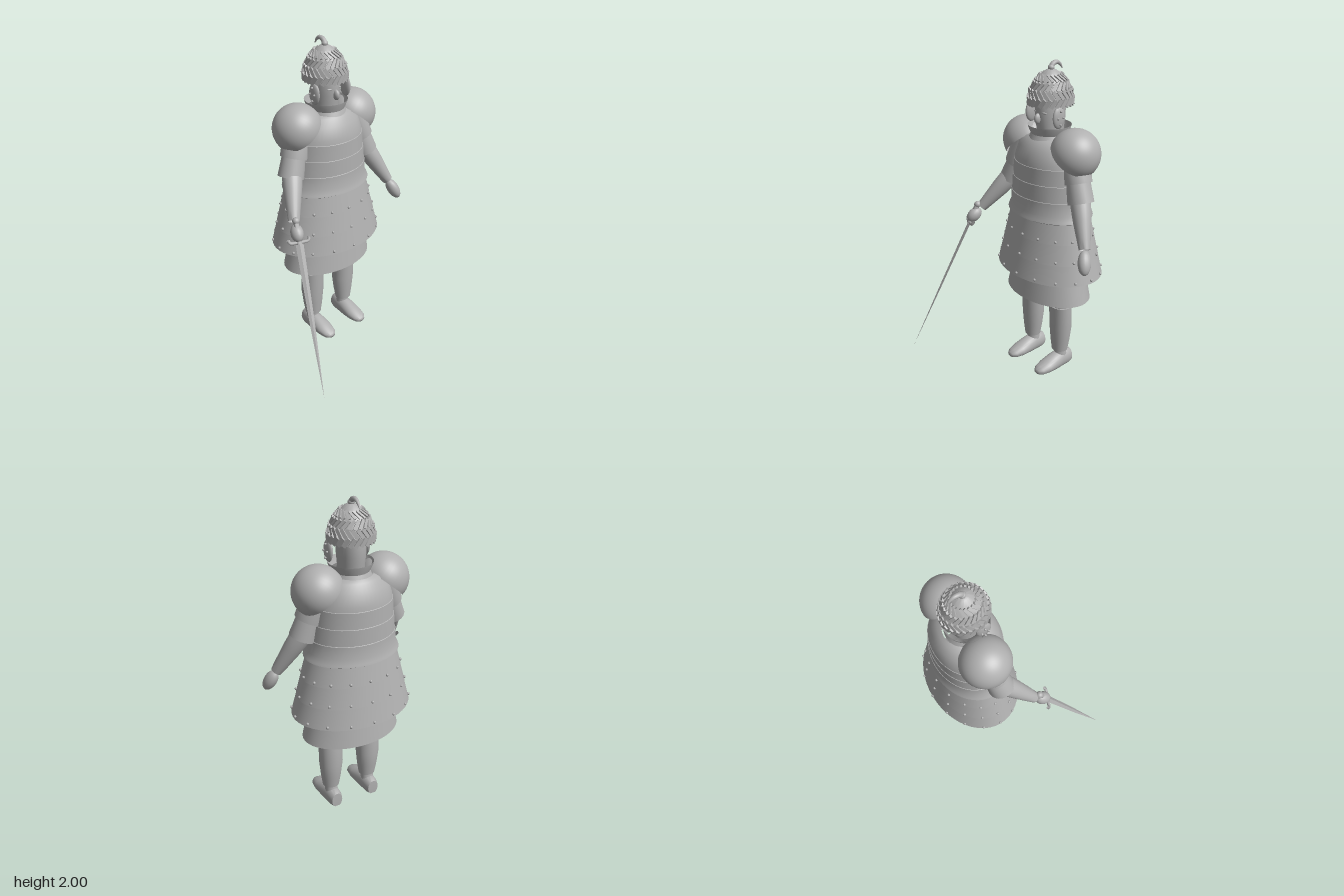
import * as THREE from 'three';
import { toCreasedNormals } from 'three/addons/utils/BufferGeometryUtils.js';

const V = (x, y, z) => new THREE.Vector3(x, y, z);
const CX = 0.045, CZ = -0.2; // body axis
const grey = new THREE.MeshStandardMaterial({ color: 0xb0b0b0, side: THREE.DoubleSide });
grey.name = 'plain grey';

export function createModel() {
  const root = new THREE.Group();
  root.name = 'armouredWarrior';

  const add = (name, geo, parent = root) => {
    const m = new THREE.Mesh(geo, grey);
    m.name = name;
    parent.add(m);
    return m;
  };

  // Stack of elliptical rings [y, halfWidth, halfDepth, centreZ], listed top to bottom
  const loft = (rings, seg = 40, crease = 0.7) => {
    const g = new THREE.CylinderGeometry(1, 1, 1, seg, rings.length - 1, true);
    const p = g.attributes.position;
    for (let i = 0; i < p.count; i++) {
      const [y, rx, rz, cz = 0] = rings[Math.floor(i / (seg + 1))];
      p.setXYZ(i, p.getX(i) * rx, y, p.getZ(i) * rz + cz);
    }
    return toCreasedNormals(g, crease);
  };

  // Round limb between two points; profile is [fraction along, radius]
  const limb = (name, a, b, profile, parent = root) => {
    const d = b.clone().sub(a), len = d.length();
    const g = new THREE.LatheGeometry(profile.map(([t, r]) => new THREE.Vector2(r, t * len)), 24);
    const m = add(name, toCreasedNormals(g, 0.9), parent);
    m.position.copy(a);
    m.quaternion.setFromUnitVectors(V(0, 1, 0), d.normalize());
    return m;
  };

  const ball = (name, c, sx, sy, sz, parent = root, seg = 20) => {
    const m = add(name, new THREE.SphereGeometry(1, seg, Math.max(5, seg >> 1)), parent);
    m.position.copy(c);
    m.scale.set(sx, sy, sz);
    return m;
  };

  // Torso, with a rolled lip at the waist and a flared collar
  const torso = add('cuirass', loft([
    [1.56, 0.12, 0.125], [1.545, 0.17, 0.145], [1.5, 0.215, 0.178], [1.43, 0.24, 0.198],
    [1.402, 0.246, 0.201], [1.4, 0.249, 0.204], [1.302, 0.256, 0.207], [1.3, 0.259, 0.21],
    [1.202, 0.268, 0.212], [1.2, 0.271, 0.215], [1.12, 0.277, 0.216],
    [1.09, 0.293, 0.225], [1.078, 0.298, 0.228], [1.07, 0.285, 0.215]], 48));
  torso.position.set(CX, 0, CZ);
  add('collar', loft([[1.625, 0.132, 0.132], [1.61, 0.128, 0.128], [1.575, 0.11, 0.115],
    [1.54, 0.125, 0.13]])).position.set(CX, 0, -0.185);

  // Three riveted skirt plates over a plain underskirt
  for (let i = 0; i < 3; i++) {
    const top = 1.075 - i * 0.125, bottom = top - 0.127;
    const w = 0.318 + i * 0.031, d = 0.231 + i * 0.025;
    add('skirtPlate', loft([[top, w - 0.034, d - 0.025], [bottom, w, d],
      [bottom, w - 0.008, d - 0.008]], 48, 0.5)).position.set(CX, 0, CZ);
    for (let k = 0; k < 16; k++) {
      const a = k * Math.PI / 8;
      ball('skirtRivet', V(CX + Math.sin(a) * (w - 0.002), bottom + 0.02, CZ + Math.cos(a) * (d - 0.002)),
        0.009, 0.009, 0.009, root, 8);
    }
  }
  add('underskirt', loft([[1.0, 0.21, 0.15], [0.7, 0.272, 0.19], [0.52, 0.315, 0.214]], 40))
    .position.set(CX, 0, -0.195);

  // Legs and shoes
  for (const s of [-1, 1]) {
    const leg = new THREE.Group();
    leg.name = s > 0 ? 'leftLeg' : 'rightLeg';
    leg.position.x = CX + s * 0.133;
    root.add(leg);
    add('thigh', loft([[0.85, 0.078, 0.075, CZ], [0.44, 0.068, 0.06, -0.18]], 24), leg);
    add('greave', loft([[0.455, 0.06, 0.055, -0.178], [0.455, 0.077, 0.066, -0.178],
      [0.3, 0.076, 0.069, -0.186], [0.2, 0.065, 0.06, -0.184], [0.125, 0.053, 0.05, -0.182],
      [0.125, 0.035, 0.035, -0.182]], 28), leg);
    add('ankle', loft([[0.14, 0.038, 0.038, -0.185], [0.07, 0.042, 0.045, -0.19]], 20), leg);
    const foot = loft([[0.025, 0, 0, -0.025], [0.018, 0.026, 0.016, -0.025], [-0.005, 0.045, 0.028, -0.028],
      [-0.06, 0.056, 0.042, -0.034], [-0.12, 0.055, 0.056, -0.042], [-0.18, 0.05, 0.064, -0.048],
      [-0.24, 0.045, 0.06, -0.046], [-0.268, 0.036, 0.05, -0.044], [-0.27, 0, 0, -0.044]], 28, 1);
    foot.rotateX(Math.PI / 2);
    const p = foot.attributes.position;
    for (let i = 0; i < p.count; i++) p.setY(i, Math.max(0, p.getY(i))); // flat sole
    add('shoe', toCreasedNormals(foot, 0.9), leg);
  }

  // Shoulder domes and arms
  const arms = [
    { side: 1, elbow: V(0.345, 1.21, -0.165), wrist: V(0.475, 0.98, -0.075), hand: V(0.503, 0.915, -0.048) },
    { side: -1, elbow: V(-0.262, 1.21, -0.15), wrist: V(-0.372, 1.02, 0.015), hand: V(-0.39, 0.97, 0.065) }];
  for (const { side, elbow, wrist, hand } of arms) {
    const n = side > 0 ? 'left' : 'right';
    const pad = add(n + 'ShoulderDome', new THREE.SphereGeometry(0.152, 36, 18, 0, Math.PI * 2, 0, Math.PI * 0.54));
    pad.position.set(CX + side * 0.211, 1.485, -0.195);
    pad.rotation.z = -side * 0.7;
    const shoulder = V(CX + side * 0.2, 1.5, -0.195);
    limb(n + 'UpperSleeve', shoulder, shoulder.clone().lerp(elbow, 0.62),
      [[0, 0.075], [0.5, 0.086], [1, 0.084], [1, 0.07]]);
    limb(n + 'LowerSleeve', shoulder.clone().lerp(elbow, 0.55), elbow, [[0, 0.072], [1, 0.08], [1, 0.055]]);
    limb(n + 'Forearm', elbow.clone().lerp(shoulder, 0.15), wrist,
      [[0, 0.058], [0.2, 0.061], [0.45, 0.055], [0.8, 0.042], [1, 0.034]]);
    const fist = ball(n + 'Hand', hand, 0.038, side > 0 ? 0.075 : 0.056, 0.042);
    fist.quaternion.setFromUnitVectors(V(0, 1, 0), wrist.clone().sub(hand).normalize());
  }

  // Sword: local y runs from the tip up to the pommel
  const sword = new THREE.Group();
  sword.name = 'sword';
  const guardPos = V(-0.4, 0.925, 0.098), tip = V(-0.546, 0.078, 0.49);
  const up = guardPos.clone().sub(tip), length = up.length();
  up.normalize();
  const face = V(0.92, 0, 0.39).cross(up).normalize();
  sword.quaternion.setFromRotationMatrix(new THREE.Matrix4().makeBasis(up.clone().cross(face), up, face));
  sword.position.copy(guardPos);
  root.add(sword);
  add('blade', loft([[0, 0.024, 0.008], [-0.5 * length, 0.016, 0.006], [-length, 0, 0]], 4, 0.2), sword);
  add('guard', new THREE.TubeGeometry(new THREE.CatmullRomCurve3([V(-0.064, 0.024, 0), V(-0.055, 0.004, 0),
    V(-0.025, 0, 0), V(0.025, 0, 0), V(0.055, 0.004, 0), V(0.064, 0.024, 0)]), 24, 0.01, 10), sword);
  limb('grip', V(0, -0.01, 0), V(0, 0.12, 0), [[0, 0.016], [1, 0.016]], sword);
  ball('pommel', V(0, 0.128, 0), 0.022, 0.022, 0.022, sword);

  // Head
  const head = new THREE.Group();
  head.name = 'head';
  head.position.set(CX, 0, -0.19);
  root.add(head);
  add('face', loft([[1.86, 0.07, 0.085], [1.74, 0.081, 0.1], [1.67, 0.08, 0.098], [1.62, 0.076, 0.09],
    [1.54, 0.072, 0.08]], 32), head);
  ball('nose', V(0, 1.672, 0.1), 0.017, 0.032, 0.026, head);
  for (const s of [-1, 1]) {
    const eye = ball('eye', V(s * 0.038, 1.708, 0.086), 0.017, 0.005, 0.006, head, 12);
    eye.rotation.y = s * 0.4;
    // Cheek guard with rivets
    ball('cheekGuard', V(s * 0.118, 1.69, 0.045), 0.018, 0.066, 0.045, head);
    for (const [y, z] of [[1.73, 0.045], [1.69, 0.025], [1.69, 0.065], [1.65, 0.045]])
      ball('cheekRivet', V(s * 0.136, y, z), 0.009, 0.007, 0.007, head, 8);
  }

  // Helmet shell with four rows of slanted scales in a herringbone
  const dome = [[1.955, 0], [1.945, 0.03], [1.925, 0.055], [1.89, 0.087], [1.84, 0.113],
    [1.79, 0.126], [1.755, 0.13], [1.75, 0.13], [1.75, 0.08]];
  add('helmetShell', loft(dome.map(([y, r]) => [y, r, r * 1.05]), 36), head);
  const rows = [[1.772, 0.13, 0.08, 26], [1.817, 0.122, 0.25, 26], [1.862, 0.104, 0.5, 24], [1.907, 0.075, 0.82, 20]];
  rows.forEach(([y, r, lean, count], row) => {
    const scale = new THREE.BoxGeometry(r * 0.17, 0.056, 0.013);
    for (let k = 0; k < count; k++) {
      const a = (k + row * 0.5) / count * Math.PI * 2;
      const m = add('helmetScale', scale, head);
      m.position.set(Math.sin(a) * r, y, Math.cos(a) * r * 1.05);
      m.rotation.set(-lean + 0.12, a, (row % 2 ? 1 : -1) * 0.6, 'YXZ');
    }
  });

  // Finial and back-swept plume
  ball('finial', V(0, 1.958, 0), 0.02, 0.018, 0.02, head);
  const plumePath = new THREE.CatmullRomCurve3([V(0, 1.955, 0.005), V(0, 1.978, -0.015),
    V(0, 1.984, -0.045), V(0, 1.968, -0.072), V(0, 1.942, -0.09)]);
  const plume = new THREE.TubeGeometry(plumePath, 20, 0.016, 12);
  const p = plume.attributes.position;
  for (let i = 0; i < p.count; i++) { // taper towards the end
    const t = Math.floor(i / 13) / 20, c = plumePath.getPointAt(t), k = 1 - 0.85 * t * t;
    p.setXYZ(i, c.x + (p.getX(i) - c.x) * k, c.y + (p.getY(i) - c.y) * k, c.z + (p.getZ(i) - c.z) * k);
  }
  add('plume', plume, head);

  return root;
}
